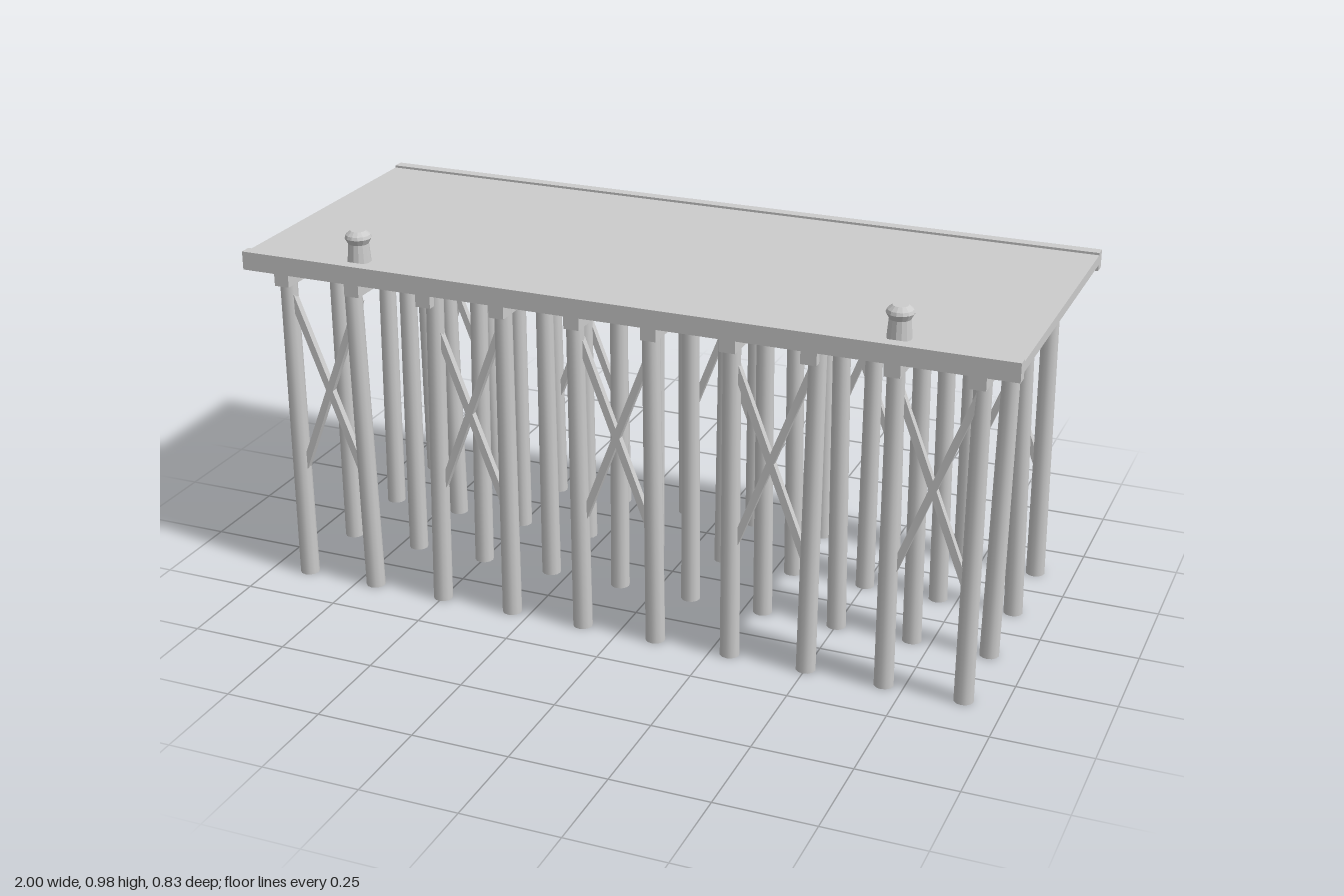
import * as THREE from 'three';

const material = new THREE.MeshStandardMaterial({ color: 0xcccccc });

// Small seeded generator for the slight lean of the piles
function makeRandom(seed) {
  return () => {
    seed = (seed * 16807) % 2147483647;
    return seed / 2147483647;
  };
}

function addMesh(parent, name, geometry, x = 0, y = 0, z = 0) {
  const mesh = new THREE.Mesh(geometry, material);
  mesh.name = name;
  mesh.position.set(x, y, z);
  parent.add(mesh);
  return mesh;
}

// Tapered pile whose foot stays level while its head drifts sideways
function pileGeometry(height, leanX, leanZ) {
  const geometry = new THREE.CylinderGeometry(0.022, 0.025, height, 12);
  geometry.translate(0, height / 2, 0);
  const p = geometry.attributes.position;
  for (let i = 0; i < p.count; i++) {
    const t = p.getY(i) / height;
    p.setX(i, p.getX(i) + leanX * t);
    p.setZ(i, p.getZ(i) + leanZ * t);
  }
  geometry.computeBoundingSphere();
  return geometry;
}

export function createModel() {
  const pier = new THREE.Group();
  pier.name = 'pier';
  const random = makeRandom(4321);
  const lean = () => (random() - 0.5) * 0.026;

  // Deck slab and raised edge boards
  addMesh(pier, 'deck', new THREE.BoxGeometry(2, 0.026, 0.8), 0, 0.887, 0);
  for (const side of [-1, 1]) {
    addMesh(pier, 'edgeBoard', new THREE.BoxGeometry(2, 0.048, 0.03), 0, 0.882, side * 0.4);
  }

  // Ten rows of four piles, each row under a cross beam
  const beam = new THREE.BoxGeometry(0.04, 0.043, 0.8);
  for (let row = 0; row < 10; row++) {
    const x = -0.9 + row * 0.2;
    addMesh(pier, 'crossBeam', beam, x, 0.8415, 0);
    for (const z of [-0.36, -0.12, 0.12, 0.36]) {
      addMesh(pier, 'pile', pileGeometry(0.853, lean(), lean()), x, 0, z);
    }
  }

  // Crossed braces between pairs of outer piles
  const rise = 0.52, run = 0.2;
  const brace = new THREE.BoxGeometry(0.018, Math.hypot(rise, run), 0.018);
  for (let pair = 0; pair < 5; pair++) {
    for (const z of [-0.36, 0.36]) {
      for (const tilt of [-1, 1]) {
        const mesh = addMesh(pier, 'crossBrace', brace, -0.8 + pair * 0.4, 0.54, z);
        mesh.rotation.z = tilt * Math.atan2(run, rise);
      }
    }
  }

  // Mooring bollards on the front edge
  const profile = [[0, 0], [0.03, 0], [0.026, 0.047], [0.034, 0.062], [0.031, 0.07], [0.019, 0.08], [0, 0.08]]
    .map(([r, y]) => new THREE.Vector2(r, y));
  const bollard = new THREE.LatheGeometry(profile, 14).toNonIndexed();
  bollard.computeVertexNormals();
  for (const x of [-0.7, 0.7]) addMesh(pier, 'bollard', bollard, x, 0.9, 0.35);

  return pier;
}
